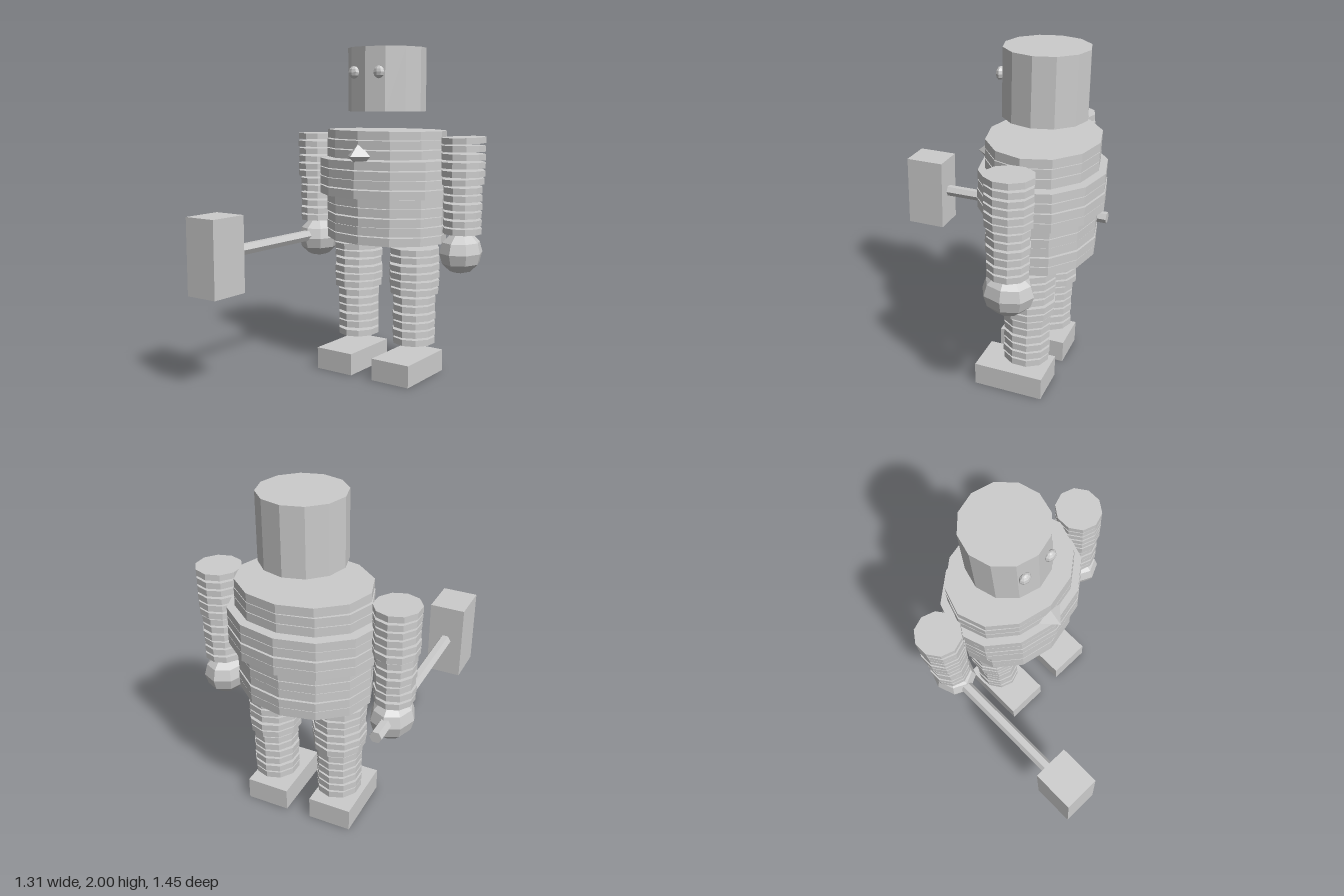
import * as THREE from 'three';

export function createModel() {
  const root = new THREE.Group();
  root.name = 'robot';
  const grey = new THREE.MeshStandardMaterial({ color: 0xcccccc, flatShading: true });
  grey.name = 'grey';
  const Z = -0.367; // depth of the body axis

  let seed = 7;
  const wobble = (a) => {
    seed = (seed * 16807) % 2147483647;
    return (seed / 2147483647 - 0.5) * 2 * a;
  };

  function add(name, geometry, x, y, z, parent = root) {
    const mesh = new THREE.Mesh(geometry, grey);
    mesh.name = name;
    mesh.position.set(x, y, z);
    parent.add(mesh);
    return mesh;
  }

  // Pile of slightly uneven discs, filling the height from top to bottom
  function stack(name, x, top, bottom, count, rx, rz, sides, fill, tilt) {
    const group = new THREE.Group();
    group.name = name;
    root.add(group);
    const pitch = (top - bottom) / count;
    for (let i = 0; i < count; i++) {
      const disc = new THREE.CylinderGeometry(1, 1, pitch * fill, sides);
      disc.scale(rx + wobble(0.004), 1, rz + wobble(0.003));
      const ring = add(name + 'Ring', disc, x, top - pitch * (i + 0.5), Z, group);
      ring.rotation.set(wobble(tilt), 0, wobble(tilt));
    }
  }

  // Head and eyes
  add('head', new THREE.CylinderGeometry(0.238, 0.238, 0.38, 12), 0, 1.81, Z);
  for (const side of [-1, 1]) {
    const eye = add('eye', new THREE.SphereGeometry(0.037, 8, 6), side * 0.088, 1.85, -0.14);
    eye.scale.z = 0.7;
  }

  // Torso: chest, wide middle, waist
  stack('chest', 0, 1.51, 1.34, 3, 0.39, 0.313, 12, 0.9, 0.008);
  stack('belly', 0, 1.335, 1.11, 4, 0.435, 0.355, 12, 0.9, 0.008);
  stack('waist', 0, 1.11, 0.83, 5, 0.39, 0.313, 12, 0.9, 0.008);

  // Pointed chest stud
  const stud = new THREE.ConeGeometry(0.08, 0.09, 4);
  stud.rotateX(Math.PI / 2);
  add('chestStud', stud, 0, 1.36, -0.02);

  // Limbs
  for (const side of [-1, 1]) {
    const arm = side * 0.53;
    stack('upperArm', arm, 1.482, 1.195, 6, 0.126, 0.135, 10, 0.74, 0.02);
    stack('forearm', arm, 1.195, 0.905, 6, 0.113, 0.12, 10, 0.74, 0.02);
    const hand = add('hand', new THREE.SphereGeometry(1, 8, 6), side * 0.525, 0.797, Z);
    hand.scale.set(0.125, 0.127, 0.147);

    const leg = side * 0.207;
    stack('thigh', leg, 0.805, 0.51, 6, 0.153, 0.16, 10, 0.74, 0.015);
    stack('shin', leg, 0.505, 0.195, 6, 0.132, 0.138, 10, 0.74, 0.015);
    add('foot', new THREE.BoxGeometry(0.258, 0.135, 0.413), side * 0.205, 0.068, -0.298);
  }

  // Hammer held in the right hand
  const handle = new THREE.CylinderGeometry(0.036, 0.036, 1.1, 6);
  handle.rotateY(Math.PI / 6);
  handle.rotateX(Math.PI / 2);
  add('hammerHandle', handle, -0.53, 0.815, -0.065);
  add('hammerHead', new THREE.BoxGeometry(0.21, 0.455, 0.247), -0.53, 0.812, 0.599);

  return root;
}
